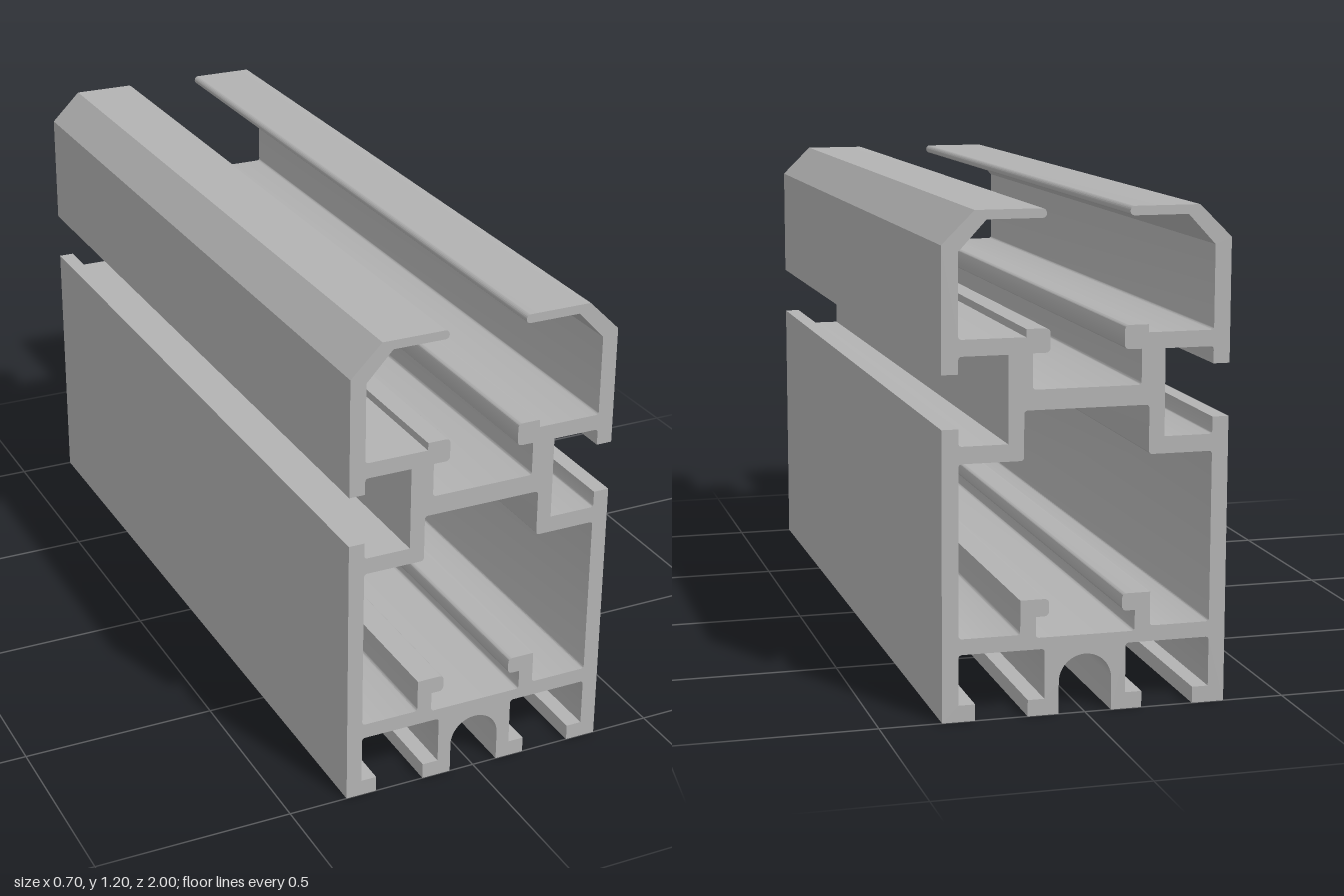
import * as THREE from 'three';
import { toCreasedNormals } from 'three/addons/utils/BufferGeometryUtils.js';

const LENGTH = 2;
const F = 0.008; // inner fillet
const L = 0.011; // rounded lip

// Mirror a right-hand half profile [x, y, radius] across x = 0 into a closed loop
function mirrored(half) {
  return [...half, ...half.map(([x, y, r]) => [-x, y, r]).reverse()];
}

// Turn a closed loop into points, rounding the corners that have a radius
function roundedLoop(loop) {
  const out = [];
  const steps = 5;
  loop.forEach(([x, y, r = 0], i) => {
    const p = new THREE.Vector2(x, y);
    if (!r) {
      out.push(p);
      return;
    }
    const toward = ([nx, ny]) => new THREE.Vector2(nx - x, ny - y).normalize().multiplyScalar(r);
    const a = toward(loop[(i + loop.length - 1) % loop.length]);
    const b = toward(loop[(i + 1) % loop.length]);
    for (let k = 0; k <= steps; k++) {
      const t = (k / steps) * Math.PI / 2;
      out.push(p.clone().addScaledVector(a, 1 - Math.sin(t)).addScaledVector(b, 1 - Math.cos(t)));
    }
  });
  return out;
}

export function createModel() {
  const group = new THREE.Group();
  group.name = 'slottedProfile';
  const aluminium = new THREE.MeshStandardMaterial({ color: 0xb2b2b2 });
  aluminium.name = 'aluminium grey';

  // Round-topped groove under the base, from its crown down to its foot
  const arch = [];
  for (let i = 0; i <= 12; i++) {
    const t = Math.PI / 2 * (1 - (i + 0.5) / 12.5);
    arch.push([0.065 * Math.cos(t), 0.078 + 0.065 * Math.sin(t)]);
  }

  const outer = [
    ...arch,
    // bottom slot with its two lips
    [0.065, 0], [0.141, 0], [0.141, 0.04], [0.1, 0.04], [0.1, 0.162, F],
    [0.309, 0.162, F], [0.309, 0.04], [0.269, 0.04], [0.269, 0],
    // side wall and side slot
    [0.349, 0], [0.349, 0.698], [0.309, 0.698], [0.309, 0.657, F],
    [0.19, 0.657], [0.19, 0.866], [0.309, 0.866, F], [0.309, 0.825], [0.349, 0.825],
    // chamfered shoulder and thin top lip
    [0.349, 1.122], [0.27, 1.2], [0.1, 1.2, L], [0.1, 1.178, L - 0.001], [0.242, 1.178],
    [0.309, 1.106], [0.309, 0.905, F],
    // hook and channel floor
    [0.148, 0.905], [0.148, 0.924], [0.09, 0.924, L], [0.09, 0.867, L],
    [0.132, 0.867], [0.132, 0.782, F],
  ];

  const chamber = [
    // floor channel with hooks
    [0.122, 0.19, F], [0.122, 0.241], [0.09, 0.241, L], [0.09, 0.283, L],
    [0.16, 0.283], [0.16, 0.2, F],
    // side wall and stepped ceiling
    [0.309, 0.2, F], [0.309, 0.616, F], [0.152, 0.616, F], [0.152, 0.734, F],
  ];

  const shape = new THREE.Shape(roundedLoop(mirrored(outer)));
  shape.holes.push(new THREE.Path(roundedLoop(mirrored(chamber))));
  const geometry = new THREE.ExtrudeGeometry(shape, { depth: LENGTH, bevelEnabled: false, steps: 1 });
  geometry.translate(0, 0, -LENGTH / 2);

  const rail = new THREE.Mesh(toCreasedNormals(geometry, 0.5), aluminium);
  rail.name = 'extrudedRail';
  group.add(rail);
  return group;
}
